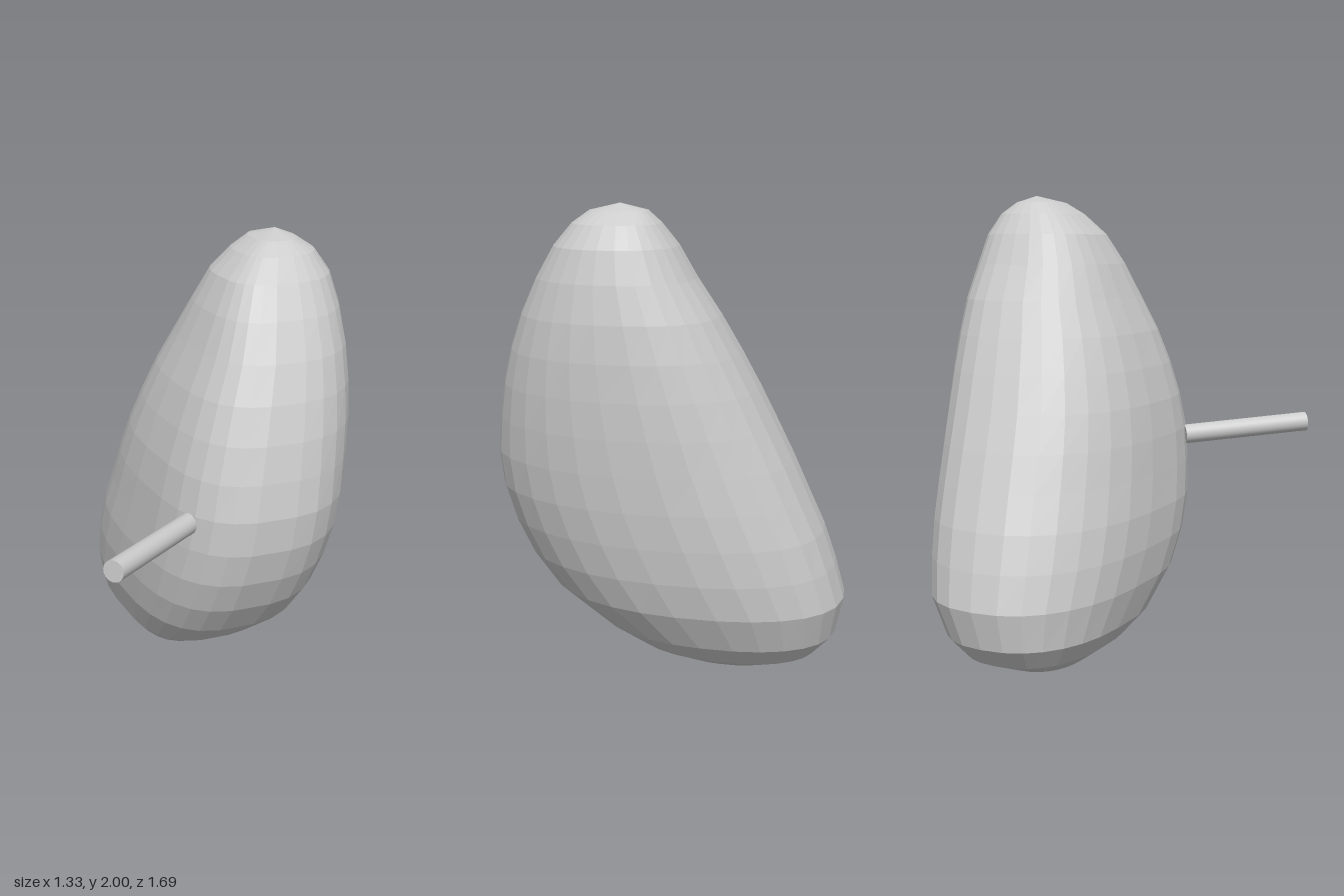
import * as THREE from 'three';

// Horizontal cross-sections of the stone: y, x min, x max, z back, z front
const SECTIONS = [
  [0, 0.1, 0.1, -0.3, -0.3],
  [0.012, -0.02, 0.2, -0.46, -0.18],
  [0.035, -0.07, 0.26, -0.57, -0.1],
  [0.1, -0.16, 0.385, -0.73, 0.06],
  [0.19, -0.225, 0.47, -0.81, 0.215],
  [0.35, -0.265, 0.555, -0.845, 0.42],
  [0.5, -0.275, 0.595, -0.805, 0.53],
  [0.65, -0.27, 0.62, -0.755, 0.6],
  [0.8, -0.25, 0.638, -0.69, 0.64],
  [0.95, -0.23, 0.65, -0.625, 0.65],
  [1.1, -0.2, 0.66, -0.555, 0.63],
  [1.25, -0.155, 0.665, -0.485, 0.6],
  [1.4, -0.1, 0.665, -0.41, 0.555],
  [1.55, -0.03, 0.655, -0.33, 0.495],
  [1.7, 0.035, 0.63, -0.235, 0.42],
  [1.83, 0.105, 0.595, -0.165, 0.34],
  [1.92, 0.195, 0.535, -0.1, 0.26],
  [1.97, 0.27, 0.46, -0.05, 0.19],
  [2, 0.38, 0.38, 0.06, 0.06],
];
const SIDES = 28;

// Rounded outline, squarer at the front corner by the stick and at the back
function outlinePoint([y, x0, x1, z0, z1], j) {
  const t = (j / SIDES) * Math.PI * 2;
  const c = Math.cos(t), s = Math.sin(t);
  const power = s > 0 ? (c > 0 ? 2.05 : 3.2) : 2.35;
  const round = v => Math.sign(v) * Math.abs(v) ** (2 / power);
  return [
    (x0 + x1) / 2 + ((x1 - x0) / 2) * round(c),
    y,
    (z0 + z1) / 2 + ((z1 - z0) / 2) * round(s),
  ];
}

function stoneGeometry() {
  const positions = [];
  const last = SECTIONS.length - 2;
  for (let i = 0; i <= last; i++) {
    for (let j = 0; j < SIDES; j++) {
      const a = outlinePoint(SECTIONS[i], j);
      const b = outlinePoint(SECTIONS[i], (j + 1) % SIDES);
      const c = outlinePoint(SECTIONS[i + 1], j);
      const d = outlinePoint(SECTIONS[i + 1], (j + 1) % SIDES);
      if (i > 0) positions.push(...a, ...c, ...b);
      if (i < last) positions.push(...b, ...c, ...d);
    }
  }
  // Separate triangles give faceted normals
  const geometry = new THREE.BufferGeometry();
  geometry.setAttribute('position', new THREE.Float32BufferAttribute(positions, 3));
  geometry.computeVertexNormals();
  return geometry;
}

// Smooth straight rod between two points
function rodGeometry(from, to, radius) {
  const along = to.clone().sub(from);
  const geometry = new THREE.CylinderGeometry(radius, radius, along.length(), 32);
  const turn = new THREE.Quaternion().setFromUnitVectors(
    new THREE.Vector3(0, 1, 0), along.clone().normalize());
  geometry.applyQuaternion(turn);
  const middle = from.clone().add(to).multiplyScalar(0.5);
  return geometry.translate(middle.x, middle.y, middle.z);
}

export function createModel() {
  const group = new THREE.Group();
  const grey = new THREE.MeshStandardMaterial({ color: 0xcccccc });
  grey.name = 'light grey';

  const stone = new THREE.Mesh(stoneGeometry(), grey);
  stone.name = 'stone';

  // Thin rod poking out of the front corner
  const rod = new THREE.Mesh(rodGeometry(
    new THREE.Vector3(-0.18, 0.91, 0.45),
    new THREE.Vector3(-0.64, 0.957, 0.808), 0.044), grey);
  rod.name = 'rod';

  group.add(stone, rod);
  return group;
}
